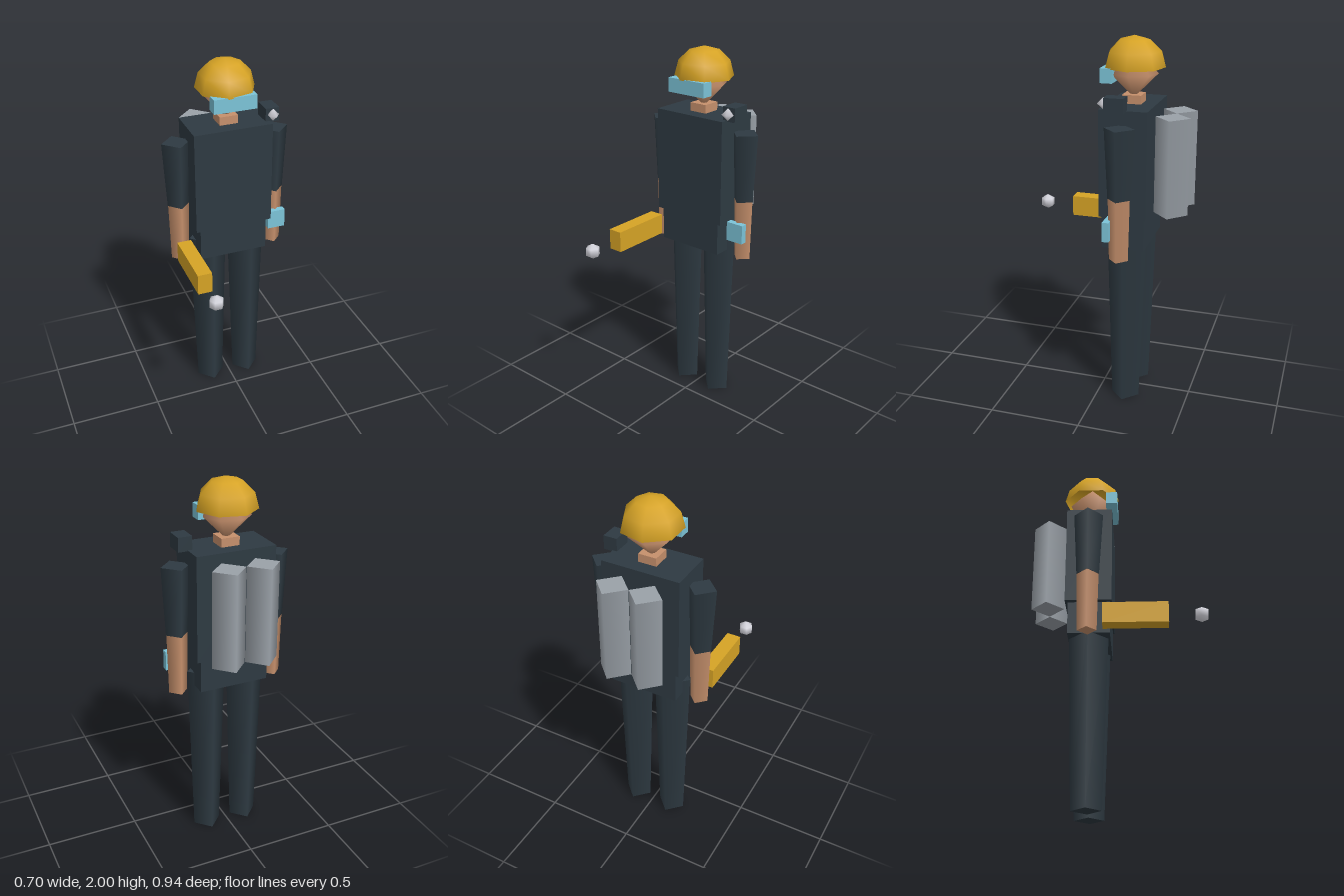
import * as THREE from 'three';

const mat = (name, color) => {
  const m = new THREE.MeshStandardMaterial({ color });
  m.name = name;
  return m;
};

export function createModel() {
  const suit = mat('dark suit', 0x2e3a42);
  const skin = mat('skin', 0xc6906c);
  const yellow = mat('yellow', 0xd6a325);
  const teal = mat('teal glass', 0x7cc4d8);
  const steel = mat('tank grey', 0x9aa1a8);
  const silver = mat('silver', 0xd6d6de);
  yellow.side = THREE.DoubleSide; // the helmet is an open shell

  const group = new THREE.Group();
  const Z = -0.155; // depth of the body's centre line

  const add = (name, geometry, material, x, y, z) => {
    const mesh = new THREE.Mesh(geometry, material);
    mesh.name = name;
    mesh.position.set(x, y, z);
    group.add(mesh);
    return mesh;
  };
  // Box given by its lower and upper corner
  const box = (name, material, [x0, y0, z0], [x1, y1, z1]) =>
    add(name, new THREE.BoxGeometry(x1 - x0, y1 - y0, z1 - z0), material,
      (x0 + x1) / 2, (y0 + y1) / 2, (z0 + z1) / 2);
  // Four-sided tapered limb between two heights
  const limb = (name, material, rTop, rBottom, y0, y1, x, z = Z) =>
    add(name, new THREE.CylinderGeometry(rTop, rBottom, y1 - y0, 4), material, x, (y0 + y1) / 2, z);

  // Trunk
  box('torso', suit, [-0.215, 1.095, -0.28], [0.215, 1.66, -0.03]);
  box('hips', suit, [-0.19, 0.915, -0.265], [0.19, 1.095, -0.04]);
  box('neck', skin, [-0.05, 1.65, Z - 0.05], [0.05, 1.705, Z + 0.05]);

  // Head, helmet shell and visor
  add('head', new THREE.SphereGeometry(0.125, 7, 2, Math.PI), skin, 0, 1.81, Z);
  add('helmet', new THREE.SphereGeometry(0.16, 7, 3, Math.PI, Math.PI * 2, 0, Math.PI / 2),
    yellow, 0, 1.84, Z);
  box('visor', teal, [-0.115, 1.77, -0.07], [0.115, 1.845, -0.005]);

  // Mirrored limbs and back tanks
  for (const [side, s] of [['left', 1], ['right', -1]]) {
    limb(side + 'Sleeve', suit, 0.079, 0.06, 1.22, 1.585, s * 0.273);
    limb(side + 'Forearm', skin, 0.058, 0.051, 0.89, 1.22, s * 0.273);
    limb(side + 'Leg', suit, 0.107, 0.078, 0, 0.99, s * 0.112);
    limb(side + 'Tank', steel, 0.09, 0.09, 1.105, 1.615, s * 0.091, -0.383);
  }

  // Wrist device and shoulder lamp on the left side
  box('wristDevice', teal, [0.222, 1.0, -0.115], [0.322, 1.105, -0.08]);
  box('shoulderLampHousing', suit, [0.19, 1.655, -0.172], [0.265, 1.73, -0.07]);
  add('shoulderLamp', new THREE.SphereGeometry(0.033, 5, 2, Math.PI), silver, 0.228, 1.695, -0.062);

  // Handheld tool with the ball in front of it
  box('tool', yellow, [-0.313, 0.915, -0.075], [-0.235, 1.03, 0.267]);
  add('toolBall', new THREE.SphereGeometry(0.043, 6, 3), silver, -0.274, 0.97, 0.437);

  return group;
}
